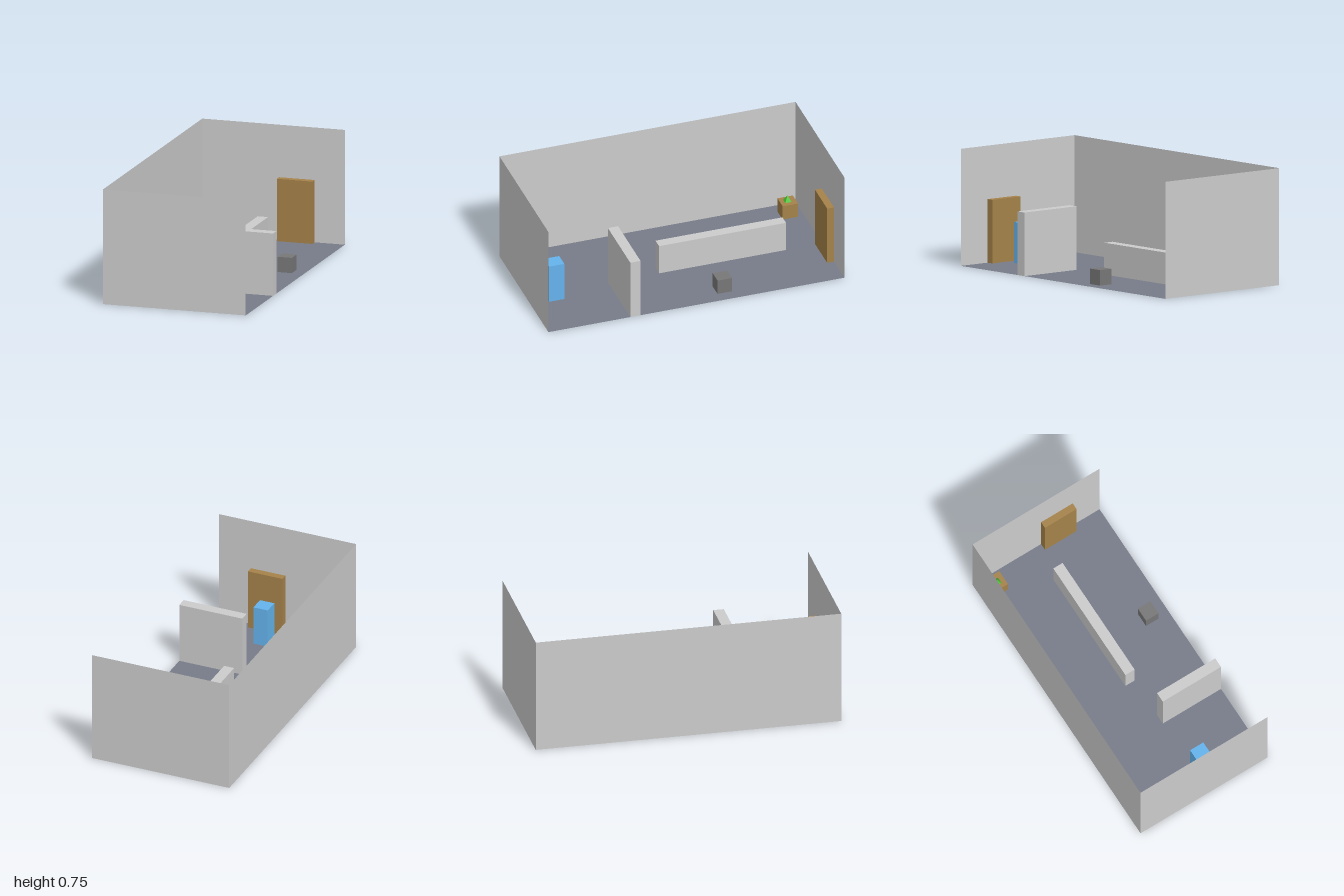
import * as THREE from 'three';

const material = (color) => new THREE.MeshStandardMaterial({ color, side: THREE.DoubleSide, flatShading: true });

export function createModel() {
  const room = new THREE.Group();
  room.name = 'room';
  const grey = material(0xcccccc);
  const slate = material(0x777c89);
  const wood = material(0xa5824a);
  const blue = material(0x64b3ec);
  const darkGrey = material(0x777777);
  const green = material(0x48c432);

  const add = (name, geometry, mat) => {
    const mesh = new THREE.Mesh(geometry, mat);
    mesh.name = name;
    room.add(mesh);
    return mesh;
  };

  // Block standing on the floor, given by its extents in x and z and its height
  const block = (name, x0, x1, z0, z1, h, mat) =>
    add(name, new THREE.BoxGeometry(x1 - x0, h, z1 - z0), mat)
      .position.set((x0 + x1) / 2, h / 2, (z0 + z1) / 2);

  // Open shell: floor and three thin walls, the +x side left open
  const W = 0.96, L = 2, H = 0.755;
  add('floor', new THREE.PlaneGeometry(W, L).rotateX(-Math.PI / 2), slate);
  add('frontWall', new THREE.PlaneGeometry(W, H), grey).position.set(0, H / 2, L / 2);
  add('backWall', new THREE.PlaneGeometry(W, H), grey).position.set(0, H / 2, -L / 2);
  add('sideWall', new THREE.PlaneGeometry(L, H).rotateY(Math.PI / 2), grey).position.set(-W / 2, H / 2, 0);

  // Doors against the end walls, just clear of the wall surface
  block('frontDoor', 0.015, 0.255, 0.953, 0.999, 0.41, wood);
  block('backDoor', 0.038, 0.277, -0.999, -0.953, 0.41, wood);

  // Inner dividers
  block('lowDivider', -0.025, 0.045, -0.755, 0.103, 0.205, grey);
  block('partition', 0.04, 0.48, 0.378, 0.447, 0.41, grey);

  // Loose items
  block('blueCabinet', 0.038, 0.138, 0.775, 0.878, 0.265, blue);
  block('stool', 0.305, 0.4, -0.268, -0.17, 0.1, darkGrey);

  // Planter with a small four-sided plant
  block('planter', -0.408, -0.306, -0.957, -0.853, 0.1, wood);
  const plant = new THREE.ConeGeometry(0.021 * Math.SQRT2, 0.042, 4).rotateY(Math.PI / 4);
  add('plant', plant, green).position.set(-0.358, 0.121, -0.903);

  return room;
}
